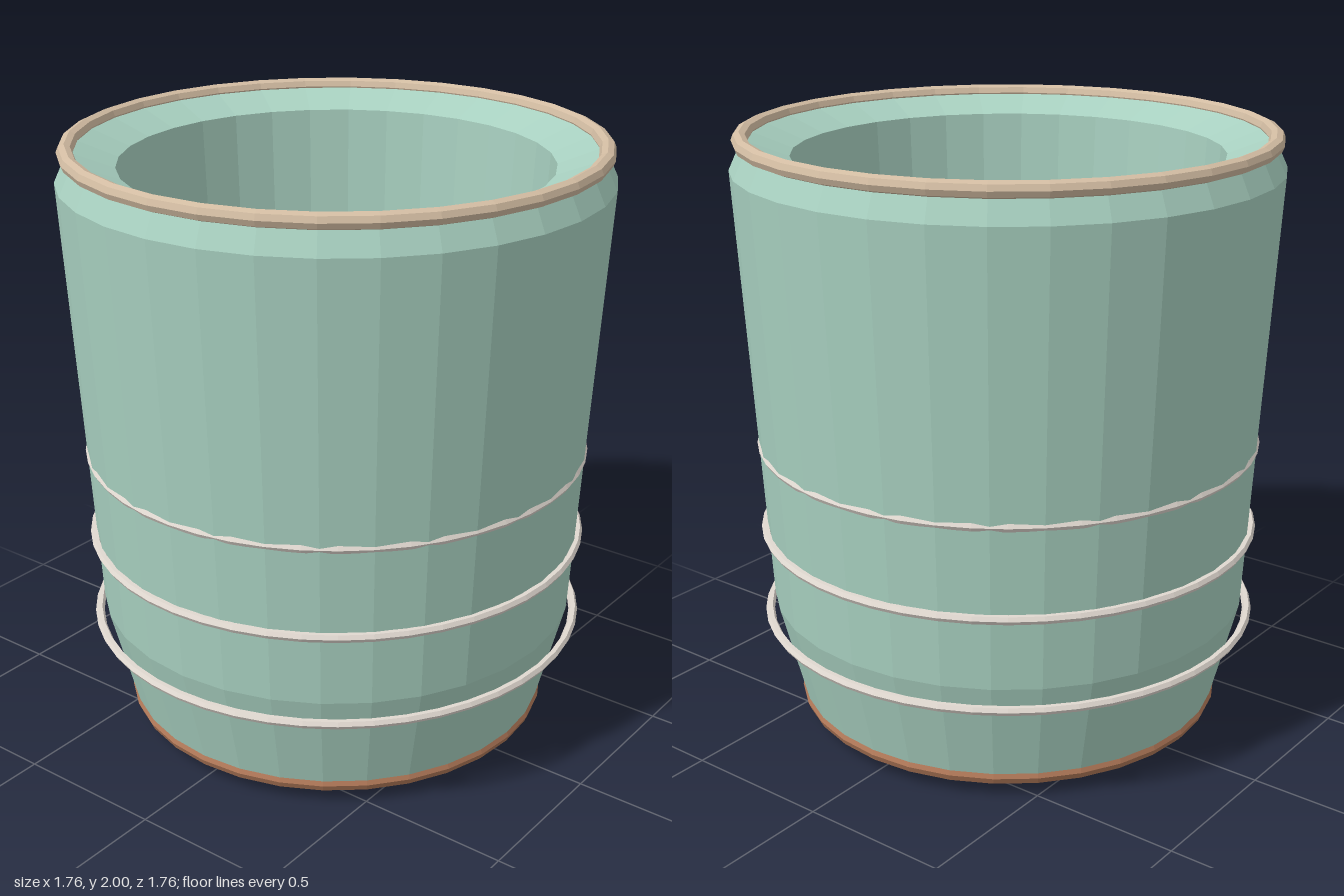
import * as THREE from 'three';

const mat = (color) => new THREE.MeshStandardMaterial({ color, flatShading: true });

export function createModel() {
  const cup = new THREE.Group();
  cup.name = 'cup';

  // Body: underside, outer wall, bevelled lip, inner wall and dished floor
  const profile = [
    [0, 0], [0.5, 0], [0.71, 0.07], [0.8, 0.43], [0.88, 1.88], [0.84, 1.965],
    [0.82, 1.97], [0.69, 1.92], [0.605, 0.3], [0.26, 0.2], [0, 0.2],
  ].map(([r, y]) => new THREE.Vector2(r, y));
  const body = new THREE.Mesh(new THREE.LatheGeometry(profile, 32), mat(0xa8d0c0));
  body.name = 'body';
  cup.add(body);

  // Horizontal ring around the cup
  function addRing(name, radius, tube, y, color, sides, segments) {
    const geometry = new THREE.TorusGeometry(radius, tube, sides, segments).rotateX(Math.PI / 2);
    const ring = new THREE.Mesh(geometry, mat(color));
    ring.name = name;
    ring.position.y = y;
    cup.add(ring);
  }

  addRing('rimRing', 0.843, 0.026, 1.974, 0xd2bca2, 8, 32);
  addRing('baseRing', 0.69, 0.03, 0.07, 0xb07858, 8, 32);

  // Thin wire bands
  [0.37, 0.675, 0.975].forEach((y, i) =>
    addRing(`wireBand${i + 1}`, 0.82, 0.015, y, 0xe0d8d0, 6, 48));

  return cup;
}
